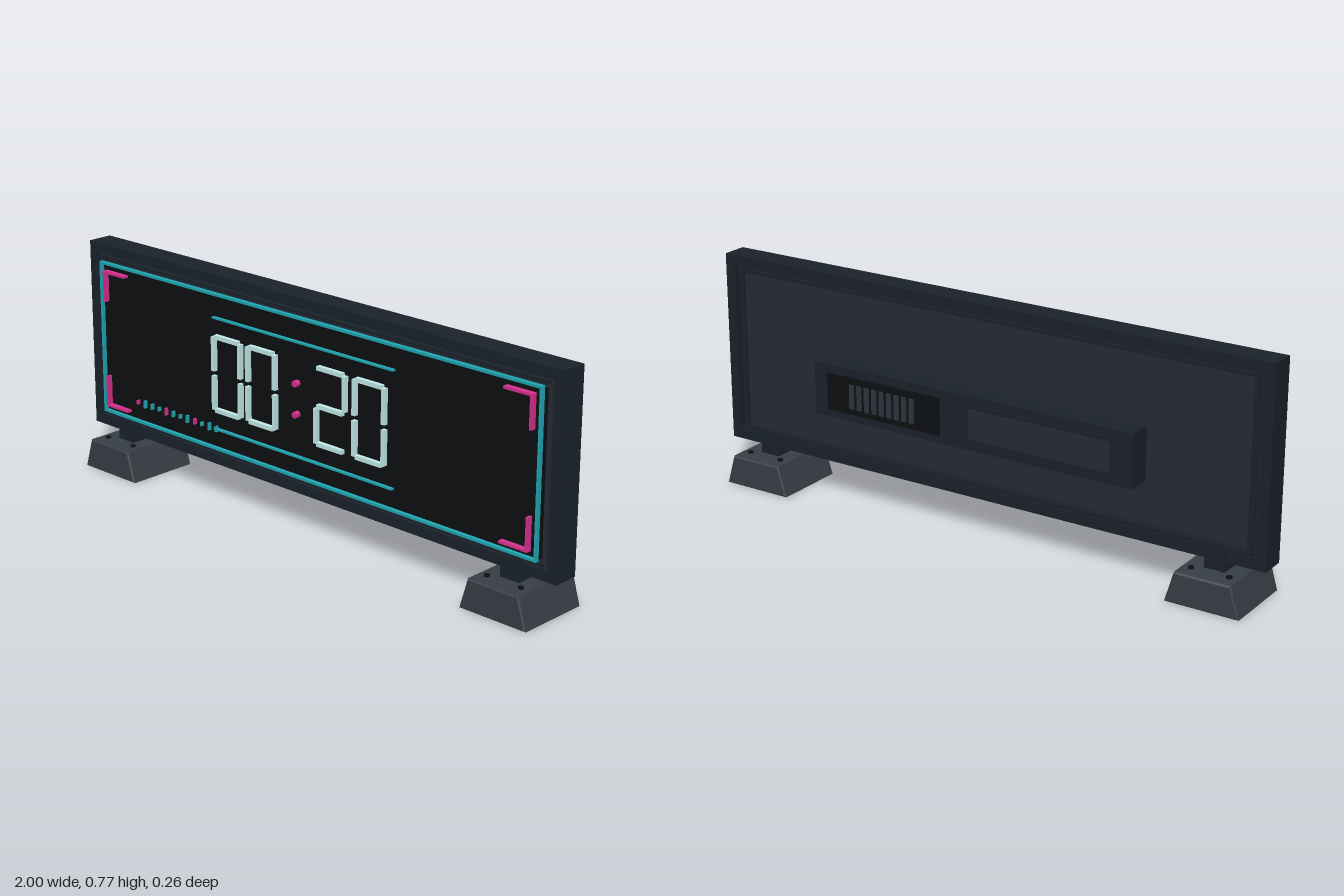
import * as THREE from 'three';

const mat = (color) => new THREE.MeshStandardMaterial({ color });
const M = {
  frame: mat(0x1b222b), panel: mat(0x252c36), dark: mat(0x0d0f11), foot: mat(0x383e46),
  cyan: mat(0x20a8b4), pink: mat(0xd8308f), digit: mat(0xc4ecec), slat: mat(0x2c343d),
};

// Box given by its min and max on each axis
function box(parent, name, m, x0, x1, y0, y1, z0, z1) {
  const mesh = new THREE.Mesh(new THREE.BoxGeometry(x1 - x0, y1 - y0, z1 - z0), m);
  mesh.position.set((x0 + x1) / 2, (y0 + y1) / 2, (z0 + z1) / 2);
  mesh.name = name;
  parent.add(mesh);
  return mesh;
}

// Rectangular ring in the xy plane, extruded from z0 to z1
function ring(parent, name, m, hx, y0, y1, w, z0, z1) {
  const rect = (P, a, b, c) => {
    const p = new P();
    p.moveTo(-a, b); p.lineTo(a, b); p.lineTo(a, c); p.lineTo(-a, c); p.closePath();
    return p;
  };
  const s = rect(THREE.Shape, hx, y0, y1);
  s.holes.push(rect(THREE.Path, hx - w, y0 + w, y1 - w));
  const mesh = new THREE.Mesh(new THREE.ExtrudeGeometry(s, { depth: z1 - z0, bevelEnabled: false }), m);
  mesh.position.z = z0;
  mesh.name = name;
  parent.add(mesh);
}

function group(parent, name) {
  const g = new THREE.Group();
  g.name = name;
  parent.add(g);
  return g;
}

// Seven-segment figure: bars a-g
function figure(parent, x, on) {
  const g = group(parent, 'displayFigure');
  const w = 0.134, t = 0.014, b = 0.32, h = 0.262, mid = b + h / 2, gap = 0.008;
  const horizontal = (y) => box(g, 'segment', M.digit, x + 0.014, x + w - 0.014, y, y + t, 0.05, 0.066);
  const vertical = (sx, y) => box(g, 'segment', M.digit, sx, sx + t, y + gap, y + h / 2 - gap, 0.05, 0.066);
  if (on.includes('a')) horizontal(b + h - t);
  if (on.includes('g')) horizontal(mid - t / 2);
  if (on.includes('d')) horizontal(b);
  if (on.includes('f')) vertical(x, mid);
  if (on.includes('b')) vertical(x + w - t, mid);
  if (on.includes('e')) vertical(x, b);
  if (on.includes('c')) vertical(x + w - t, b);
}

function foot(parent, x) {
  const g = group(parent, 'foot');
  g.position.x = x;
  // Trapezoid block with a small bevel
  const e = 0.005, s = new THREE.Shape();
  s.moveTo(-0.118, e); s.lineTo(0.118, e); s.lineTo(0.09, 0.098); s.lineTo(-0.09, 0.098); s.closePath();
  const geo = new THREE.ExtrudeGeometry(s, { depth: 0.25, bevelSize: e, bevelThickness: e, bevelSegments: 1 });
  const block = new THREE.Mesh(geo, M.foot);
  block.position.z = -0.125;
  block.name = 'footBlock';
  g.add(block);
  // Saddle post gripping the frame
  box(g, 'footPost', M.frame, -0.035, 0.035, 0.09, 0.175, -0.051, 0.052);
  // Screws
  for (const sx of [-0.063, 0.063]) for (const sz of [-0.077, 0.077]) {
    const screw = new THREE.Mesh(new THREE.CylinderGeometry(0.009, 0.009, 0.012, 12), M.dark);
    screw.position.set(sx, 0.103, sz);
    screw.name = 'footScrew';
    g.add(screw);
  }
}

export function createModel() {
  const root = new THREE.Group();
  root.name = 'deskClock';

  // Outer frame, with the body panel set inside a narrow side gap
  const body = group(root, 'body');
  ring(body, 'outerFrame', M.frame, 1, 0.132, 0.775, 0.035, -0.043, 0.044);
  box(body, 'bodyPanel', M.panel, -0.953, 0.953, 0.167, 0.74, -0.03, 0.036);
  ring(body, 'backBezel', M.frame, 0.953, 0.167, 0.74, 0.02, -0.037, -0.03);
  for (const y of [0.18, 0.729]) box(body, 'trimBar', M.frame, -0.95, 0.95, y - 0.005, y + 0.005, -0.047, 0.047);

  // Screen and its coloured outline
  const display = group(root, 'display');
  box(display, 'screenBacking', M.dark, -0.94, 0.94, 0.195, 0.71, 0.036, 0.047);
  box(display, 'screen', M.dark, -0.925, 0.925, 0.22, 0.685, 0.046, 0.051);
  ring(display, 'screenOutline', M.cyan, 0.936, 0.188, 0.718, 0.008, 0.046, 0.061);

  // Corner brackets
  for (const s of [-1, 1]) for (const [y, d] of [[0.692, -1], [0.214, 1]]) {
    const g = group(display, 'cornerBracket');
    const span = (a, b) => [Math.min(a, b), Math.max(a, b)];
    box(g, 'bracketBar', M.pink, ...span(s * 0.91, s * 0.805), ...span(y, y + d * 0.008), 0.05, 0.07);
    box(g, 'bracketPost', M.pink, ...span(s * 0.91, s * 0.902), ...span(y, y + d * 0.108), 0.05, 0.07);
  }

  // Time figures and the dots between them
  figure(display, -0.393, 'abcdef');
  figure(display, -0.238, 'abcdef');
  figure(display, 0.061, 'abged');
  figure(display, 0.222, 'abcdef');
  for (const y of [0.4, 0.502]) {
    const dot = new THREE.Mesh(new THREE.CylinderGeometry(0.011, 0.011, 0.018, 20), M.pink);
    dot.rotation.x = Math.PI / 2;
    dot.position.set(-0.018, y, 0.059);
    dot.name = 'separatorDot';
    display.add(dot);
  }

  // Rules above and below the figures, and the row of level ticks
  for (const y of [0.261, 0.637]) box(display, 'displayRule', M.cyan, -0.39, 0.385, y - 0.003, y + 0.003, 0.05, 0.063);
  for (let i = 0; i < 12; i++) {
    const x = -0.762 + i * 0.0346, h = [0.007, 0.013, 0.01][i % 3];
    box(display, 'levelTick', i % 4 ? M.cyan : M.pink, x - 0.003, x + 0.003, 0.261 - h, 0.261 + h, 0.05, 0.063);
  }

  // Rear housing with cover plate and vent
  const rear = group(root, 'rearHousing');
  box(rear, 'housing', M.frame, -0.587, 0.587, 0.322, 0.5, -0.113, -0.03);
  box(rear, 'coverPlateRim', M.frame, -0.525, 0, 0.35, 0.472, -0.119, -0.11);
  box(rear, 'coverPlate', M.panel, -0.513, -0.012, 0.362, 0.46, -0.122, -0.11);
  box(rear, 'ventPlate', M.dark, 0.1, 0.53, 0.35, 0.472, -0.123, -0.11);
  for (let i = 0; i < 9; i++) {
    const x = 0.2 + i * 0.029;
    box(rear, 'ventSlat', M.slat, x - 0.009, x + 0.009, 0.37, 0.452, -0.127, -0.12);
  }

  for (const s of [-1, 1]) foot(root, s * 0.837);
  return root;
}
